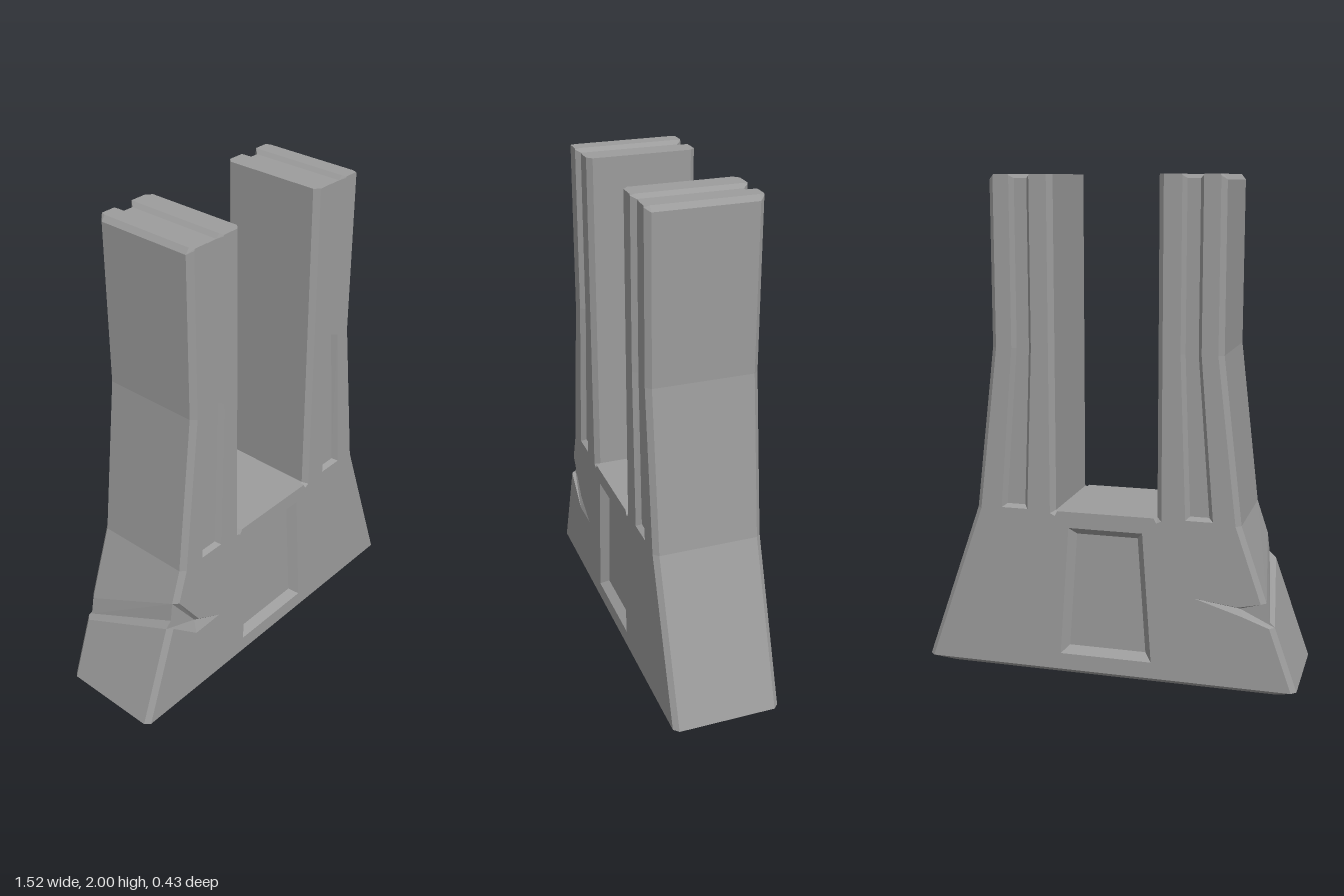
import * as THREE from 'three';

const FACE_Z = 0.217, EDGE_Z = 0.197, PANEL_Z = 0.184;

// Collects flat-shaded triangles for one named part.
class Part {
  constructor() { this.v = []; }
  tri(a, b, c) { this.v.push(...a, ...b, ...c); }
  quad(a, b, c, d, flip = false) {
    if (flip) [b, d] = [d, b];
    this.tri(a, b, c);
    this.tri(a, c, d);
  }
  // Flat polygon at depth z * s, facing outward along s.
  flat(points, holes, z, s) {
    const vec = (list) => list.map((p) => new THREE.Vector2(p[0], p[1]));
    const shape = new THREE.Shape(vec(points));
    holes.forEach((h) => shape.holes.push(new THREE.Path(vec(h))));
    const geo = new THREE.ShapeGeometry(shape);
    const pos = geo.attributes.position, idx = geo.index.array;
    const at = (i) => [pos.getX(i), pos.getY(i), z * s];
    for (let i = 0; i < idx.length; i += 3) {
      const [a, b, c] = [at(idx[i]), at(idx[i + 1]), at(idx[i + 2])];
      if (s > 0) this.tri(a, b, c); else this.tri(a, c, b);
    }
  }
  mesh(name) {
    const geo = new THREE.BufferGeometry();
    geo.setAttribute('position', new THREE.Float32BufferAttribute(this.v, 3));
    geo.computeVertexNormals();
    const mesh = new THREE.Mesh(geo, new THREE.MeshStandardMaterial({ color: 0x9c9c9c, flatShading: true }));
    mesh.name = name;
    return mesh;
  }
}

// Half outline: flat face point, matching bevel edge point, true = groove floor only.
const half = [
  [[0.742, 0.04], [0.762, 0.04]],
  [[0.515, 0.69], [0.535, 0.69]],
  [[0.438, 1.34], [0.458, 1.34]],
  [[0.438, 1.993], [0.458, 1.98]],
  [[0.435, 2], [0.442, 2]],
  [[0.377, 2], [0.375, 2]],
  [[0.375, 1.995], [0.36, 1.985]],
  [[0.375, 1.34], [0.36, 1.34], true],
  [[0.428, 0.7], [0.41, 0.713], true],
  [[0.32, 0.7], [0.335, 0.713], true],
  [[0.295, 1.34], [0.31, 1.34], true],
  [[0.295, 1.995], [0.31, 1.985]],
  [[0.293, 2], [0.295, 2]],
  [[0.226, 2], [0.206, 2]],
  [[0.226, 0.69], [0.206, 0.7]],
  [[0.206, 0.68], [0.206, 0.7]],
  [[0.195, 0.7], [0.195, 0.7]],
];
const mirrorPoint = ([x, y]) => [-x, y];
const mirrored = half.map(([f, e, g]) => [mirrorPoint(f), mirrorPoint(e), g]).reverse();

// Gash across the right flank, lower at the back.
const gashes = {
  '1': { upper: [-0.58, 0.555], lower: [-0.617, 0.45], valley: [-0.59, 0.475],
    a: [-0.455, 0.405], tip: [-0.335, 0.342], b: [-0.47, 0.338], mid: [-0.46, 0.39] },
  '-1': { upper: [-0.638, 0.39], lower: [-0.672, 0.295], valley: [-0.652, 0.315],
    a: [-0.53, 0.37], tip: [-0.36, 0.39], b: [-0.55, 0.332], mid: [-0.535, 0.36] },
};

function outline(s) {
  const g = gashes[s];
  const inset = ([x, y]) => [x + 0.02, y];
  return [...half, ...mirrored.slice(0, -1),
    [inset(g.upper), g.upper],
    [g.a, g.mid, true], [g.tip, g.mid, true], [g.b, g.mid, true],
    [inset(g.lower), g.lower],
    mirrored[mirrored.length - 1]];
}

const panelRim = [[-0.187, 0.107], [0.187, 0.107], [0.15, 0.635], [-0.15, 0.635]];
const panelFloor = [[-0.157, 0.135], [0.157, 0.135], [0.124, 0.605], [-0.124, 0.605]];

export function createModel() {
  const group = new THREE.Group();
  group.name = 'twinTowerPylon';
  const body = new Part(), grooves = new Part(), panels = new Part(), walls = new Part(), base = new Part();
  const at = (p, z) => [p[0], p[1], z];

  for (const s of [1, -1]) {
    const loop = outline(s), flip = s < 0;
    // Broad face, bevels and groove sides
    body.flat(loop.map((p) => p[0]), [panelRim], FACE_Z, s);
    for (let i = 0; i < loop.length - 1; i++) {
      const [f0, e0] = loop[i], [f1, e1] = loop[i + 1];
      body.quad(at(f0, FACE_Z * s), at(e0, EDGE_Z * s), at(e1, EDGE_Z * s), at(f1, FACE_Z * s), flip);
    }
    // Leg groove floors
    const floor = half.slice(6, 12).map((p) => p[1]);
    grooves.flat(floor, [], EDGE_Z, s);
    grooves.flat(floor.map(mirrorPoint), [], EDGE_Z, s);
    // Gash floor
    const g = gashes[s];
    grooves.flat([g.upper, g.mid, g.lower, g.valley], [], EDGE_Z, s);
    // Sunken tapered panel
    panels.flat(panelFloor, [], PANEL_Z, s);
    for (let i = 0; i < 4; i++) {
      const j = (i + 1) % 4;
      panels.quad(at(panelRim[i], FACE_Z * s), at(panelRim[j], FACE_Z * s),
        at(panelFloor[j], PANEL_Z * s), at(panelFloor[i], PANEL_Z * s), flip);
    }
  }

  // Side walls, tops and bridge, running from front to back
  const edge = (s) => {
    const points = outline(s).filter((p) => !p[2]).map((p) => p[1]);
    points.splice(-2, 0, gashes[s].valley);
    return points;
  };
  const front = edge(1), back = edge(-1);
  for (let i = 0; i < front.length - 1; i++) {
    walls.quad(at(front[i], EDGE_Z), at(back[i], -EDGE_Z), at(back[i + 1], -EDGE_Z), at(front[i + 1], EDGE_Z));
  }

  // Tapered foot with clipped corners
  const ring = (x, z, c, y) => [[x, y, z - c], [x, y, c - z], [x - c, y, -z], [c - x, y, -z],
    [-x, y, c - z], [-x, y, z - c], [c - x, y, z], [x - c, y, z]];
  const top = ring(0.762, FACE_Z, 0.02, 0.04), bottom = ring(0.68, 0.148, 0.01, 0);
  for (let i = 0; i < 8; i++) {
    const j = (i + 1) % 8;
    base.quad(bottom[i], bottom[j], top[j], top[i]);
    if (i > 0 && i < 7) base.tri(bottom[0], bottom[j], bottom[i]);
  }

  group.add(body.mesh('bodyFaces'), grooves.mesh('grooveFloors'), panels.mesh('sunkenPanels'),
    walls.mesh('sideWalls'), base.mesh('foot'));
  return group;
}
